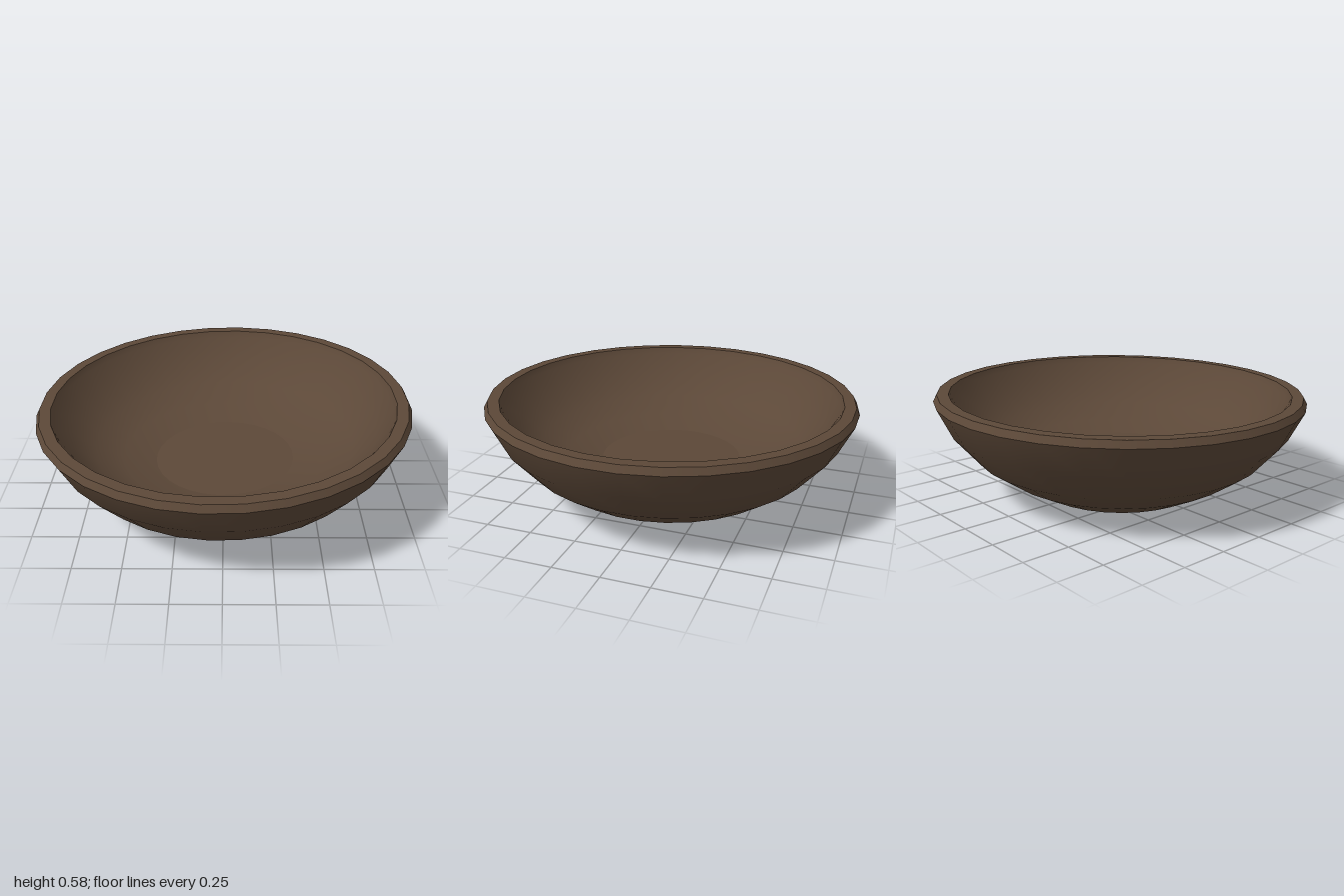
import * as THREE from 'three';

const SIDES = 32;

export function createModel() {
  const model = new THREE.Group();
  const wood = new THREE.MeshStandardMaterial({ color: 0x5c4838 });
  wood.name = 'darkWood';

  const bowl = new THREE.Group();
  bowl.name = 'bowl';

  // One turned band; separate bands keep sharp edges between them
  const band = (name, profile) => {
    const points = profile.map(([r, y]) => new THREE.Vector2(r, y));
    const mesh = new THREE.Mesh(new THREE.LatheGeometry(points, SIDES, Math.PI / SIDES), wood);
    mesh.name = name;
    bowl.add(mesh);
  };

  // Profile runs from the base, up the outside, over the rim and down inside
  band('base', [[0, 0], [0.46, 0]]);
  band('outerWall', [[0.46, 0], [0.64, 0.095], [0.79, 0.2], [0.925, 0.355], [1.004, 0.515]]);
  band('rimEdge', [[1.004, 0.515], [0.985, 0.55]]);
  band('rimTop', [[0.985, 0.55], [0.925, 0.55]]);
  band('innerWall', [[0.925, 0.55], [0.91, 0.515], [0.83, 0.4], [0.71, 0.29], [0.56, 0.22], [0.385, 0.18]]);
  band('floor', [[0.385, 0.18], [0, 0.18]]);

  // The bowl sits with a slight sideways tilt
  bowl.rotation.z = 0.021;
  bowl.position.set(0.011, 0.01, 0);
  model.add(bowl);
  return model;
}
